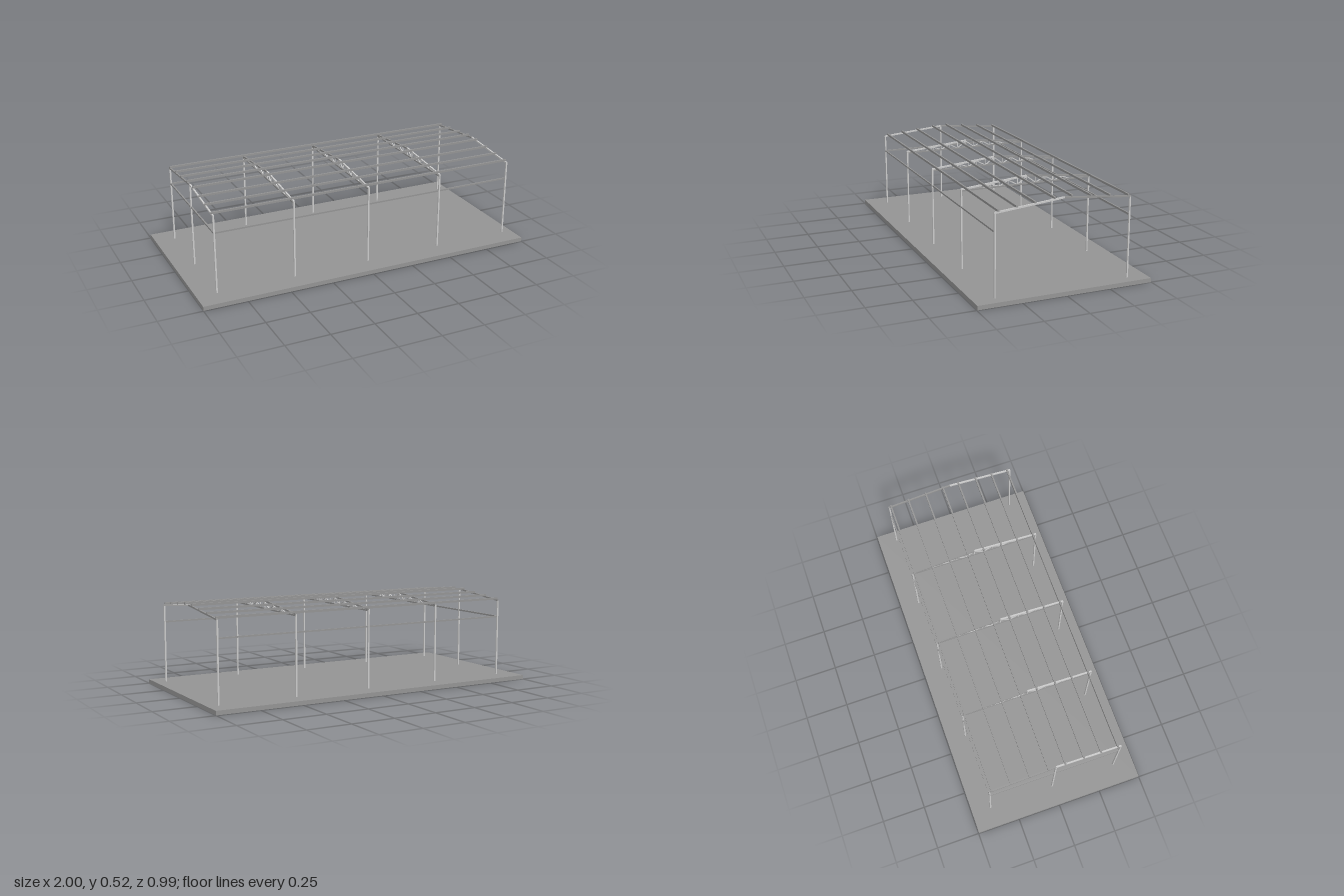
import * as THREE from 'three';

const steel = new THREE.MeshStandardMaterial({ color: 0xcccccc, flatShading: true });
const dark = new THREE.MeshStandardMaterial({ color: 0x959595, flatShading: true });

export function createModel() {
  const model = new THREE.Group();
  model.name = 'openShed';

  const box = (parent, name, material, w, h, d, x, y, z) => {
    const mesh = new THREE.Mesh(new THREE.BoxGeometry(w, h, d), material);
    mesh.name = name;
    mesh.position.set(x, y, z);
    parent.add(mesh);
    return mesh;
  };
  // Straight bar in the z-y plane between two [z, y] points
  const bar = (parent, name, material, x, a, b, size) => {
    const dz = b[0] - a[0], dy = b[1] - a[1];
    const mesh = box(parent, name, material, size, size, Math.hypot(dz, dy), x, (a[1] + b[1]) / 2, (a[0] + b[0]) / 2);
    mesh.rotation.x = -Math.atan2(dy, dz);
  };

  const frameX = [-0.883, -0.427, 0.026, 0.482, 0.938];
  const halfSpan = 0.382, floorY = 0.024, eaveY = 0.473, ridgeY = 0.51;
  const chordY = 0.466, girtY = 0.376, steelWidth = 0.009;
  const midX = (frameX[0] + frameX[4]) / 2, length = frameX[4] - frameX[0];
  const roofY = (z) => ridgeY - (ridgeY - eaveY) * Math.abs(z) / halfSpan;

  // Floor slab
  box(model, 'floorSlab', dark, 2, floorY, 0.994, 0, floorY / 2, 0);

  const structure = new THREE.Group();
  structure.name = 'structure';
  structure.position.z = -0.004;
  model.add(structure);

  // Portal frames: columns and rafters; the inner three carry trusses
  frameX.forEach((x, i) => {
    const frame = new THREE.Group();
    frame.name = 'frame' + (i + 1);
    structure.add(frame);
    for (const s of [-1, 1]) {
      box(frame, 'column', steel, steelWidth, eaveY - floorY, 0.008, x, (eaveY + floorY) / 2, s * halfSpan);
      bar(frame, 'rafter', s > 0 ? steel : dark, x, [s * (halfSpan + 0.003), eaveY], [0, ridgeY], steelWidth);
    }
    if (i === 0 || i === 4) return;

    box(frame, 'bottomChord', dark, steelWidth, 0.008, 2 * halfSpan, x, chordY, 0);
    box(frame, 'kingPost', steel, 0.005, ridgeY - chordY, 0.005, x, (ridgeY + chordY) / 2, 0);
    const nodes = [0, 0.055, 0.11, 0.163, 0.213, 0.262];
    for (const s of [-1, 1]) {
      nodes.forEach((z, k) => {
        if (k === 0) return;
        const top = roofY(z);
        if (k < 5) box(frame, 'trussPost', steel, 0.005, top - chordY, 0.004, x, (top + chordY) / 2, s * z);
        // Diagonals alternate between roof (even nodes) and chord (odd nodes)
        const point = (n) => [s * nodes[n], n % 2 ? chordY : roofY(nodes[n]) - 0.004];
        bar(frame, 'trussDiagonal', steel, x, point(k - 1), point(k), 0.005);
      });
    }
  });

  // Side girts along both long walls
  for (const s of [-1, 1]) {
    box(structure, 'sideGirt', dark, length, steelWidth, 0.007, midX, girtY, s * halfSpan);
  }

  // Closed gable: middle column and cross girt
  box(structure, 'gableColumn', steel, steelWidth, ridgeY - floorY, 0.008, frameX[0], (ridgeY + floorY) / 2, 0);
  box(structure, 'gableGirt', dark, 0.008, steelWidth, 2 * halfSpan, frameX[0], girtY, 0);

  // Purlins resting on the rafters
  for (const z of [0.364, 0.264, 0.163, 0.054, -0.043, -0.152, -0.261, -0.371]) {
    box(structure, 'purlin', dark, length + 0.009, 0.012, 0.009, midX, roofY(z) + 0.009, z);
  }

  return model;
}
